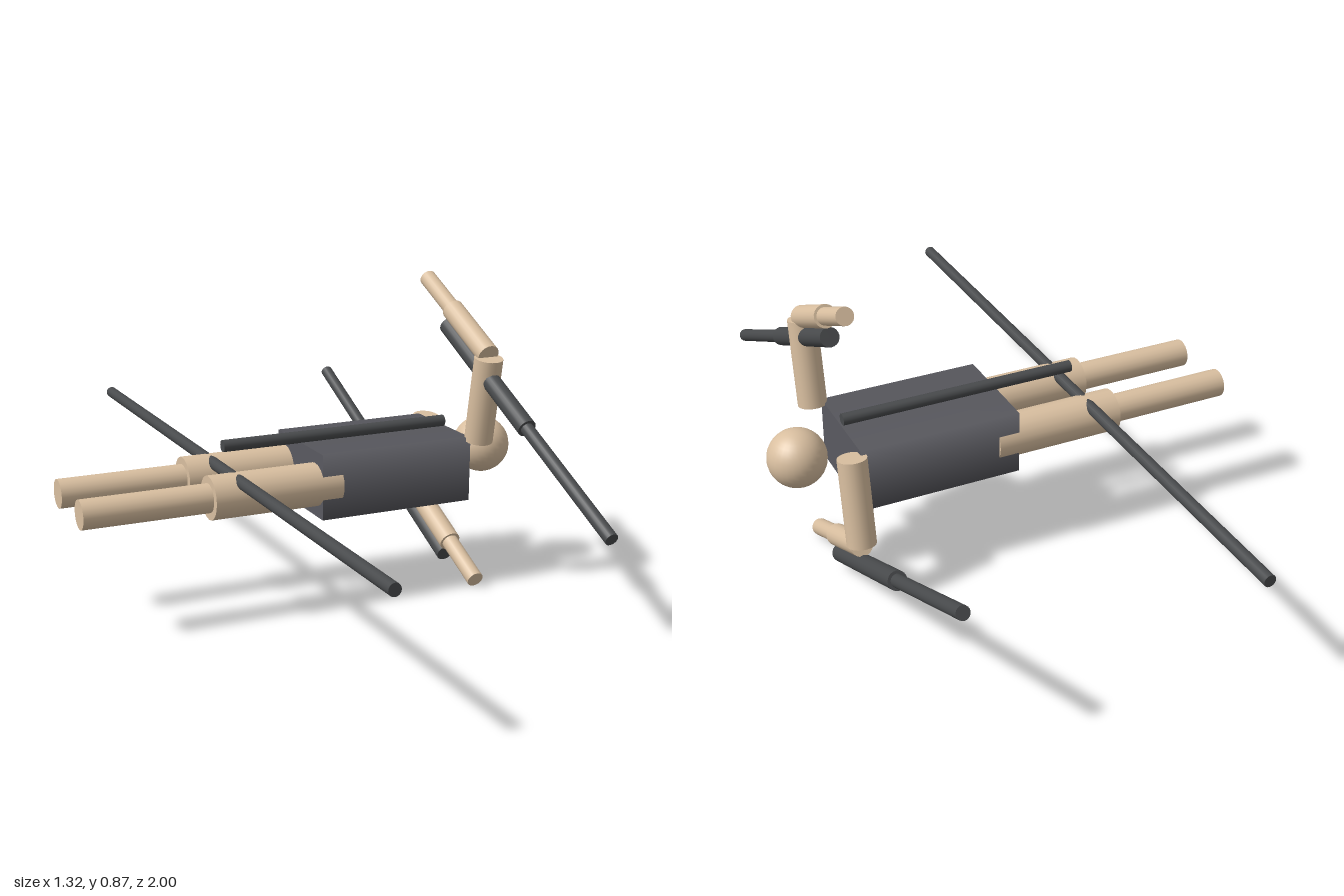
import * as THREE from 'three';

const skin = new THREE.MeshStandardMaterial({ color: 0xd9bfa0 });
const cloth = new THREE.MeshStandardMaterial({ color: 0x5a5a60 });
const metal = new THREE.MeshStandardMaterial({ color: 0x484a4c });

// Capped cylinder between two [x, y, z] points
function rod(name, from, to, radius, material) {
  const a = new THREE.Vector3(...from);
  const b = new THREE.Vector3(...to);
  const dir = b.clone().sub(a);
  const mesh = new THREE.Mesh(new THREE.CylinderGeometry(radius, radius, dir.length(), 20), material);
  mesh.position.copy(a).add(b).multiplyScalar(0.5);
  mesh.quaternion.setFromUnitVectors(new THREE.Vector3(0, 1, 0), dir.normalize());
  mesh.name = name;
  return mesh;
}

export function createModel() {
  const model = new THREE.Group();
  model.name = 'lyingFigure';

  // Torso: four-sided cylinder with softly shaded sides, lying along x
  const torsoGeo = new THREE.CylinderGeometry(Math.SQRT1_2, Math.SQRT1_2, 0.455, 4);
  torsoGeo.rotateY(Math.PI / 4);
  torsoGeo.scale(0.183, 1, 0.3);
  torsoGeo.computeBoundingBox();
  // side width is exactly 1 before scaling, so the scale gives height and depth
  torsoGeo.rotateZ(-Math.PI / 2);
  const torso = new THREE.Mesh(torsoGeo, cloth);
  torso.name = 'torso';
  torso.position.set(0.2275, 0.357, 0);
  model.add(torso);

  // Head
  const head = new THREE.Mesh(new THREE.SphereGeometry(0.081, 28, 20), skin);
  head.name = 'head';
  head.position.set(0.58, 0.38, 0);
  model.add(head);

  // Legs
  for (const side of [1, -1]) {
    const leg = new THREE.Group();
    leg.name = side > 0 ? 'frontLeg' : 'backLeg';
    leg.add(
      rod('thigh', [0.06, 0.355, side * 0.1], [-0.31, 0.355, side * 0.1], 0.06, skin),
      rod('calf', [-0.31, 0.355, side * 0.1], [-0.663, 0.355, side * 0.1], 0.04, skin)
    );
    model.add(leg);
  }

  // Arms: one raised and one lowered, half a turn apart about the body axis
  const X = 0.48, midY = 0.438;
  for (const side of [1, -1]) {
    const p = (y, z) => [X, midY + side * y, side * z];
    const arm = new THREE.Group();
    arm.name = side > 0 ? 'raisedArm' : 'loweredArm';
    arm.add(
      rod('upperArm', p(0, 0.151), p(0.243, 0.192), 0.04, skin),
      rod('forearm', p(0.25, 0.19), p(0.344, -0.01), 0.031, skin),
      rod('hand', p(0.344, -0.01), p(0.413, -0.159), 0.024, skin)
    );

    // Two-stage baton under each forearm
    const b = side > 0
      ? [[0.733, -0.033], [0.53, 0.395], [0.343, 0.79]]
      : [[0.05, -0.016], [0.248, -0.445], [0.435, -0.845]];
    const [grip, joint, tip] = b.map(([y, z]) => [X, y, z]);
    const baton = new THREE.Group();
    baton.name = 'baton';
    baton.add(
      rod('batonSleeve', grip, joint, 0.026, metal),
      rod('batonShaft', joint, tip, 0.018, metal)
    );
    model.add(arm, baton);
  }

  // Long cross bar through the thighs and the rod along the back
  model.add(
    rod('crossBar', [-0.23, 0.397, -1], [-0.23, 0.397, 1], 0.0165, metal),
    rod('backRod', [-0.23, 0.463, 0], [0.45, 0.463, 0], 0.0165, metal)
  );
  return model;
}
